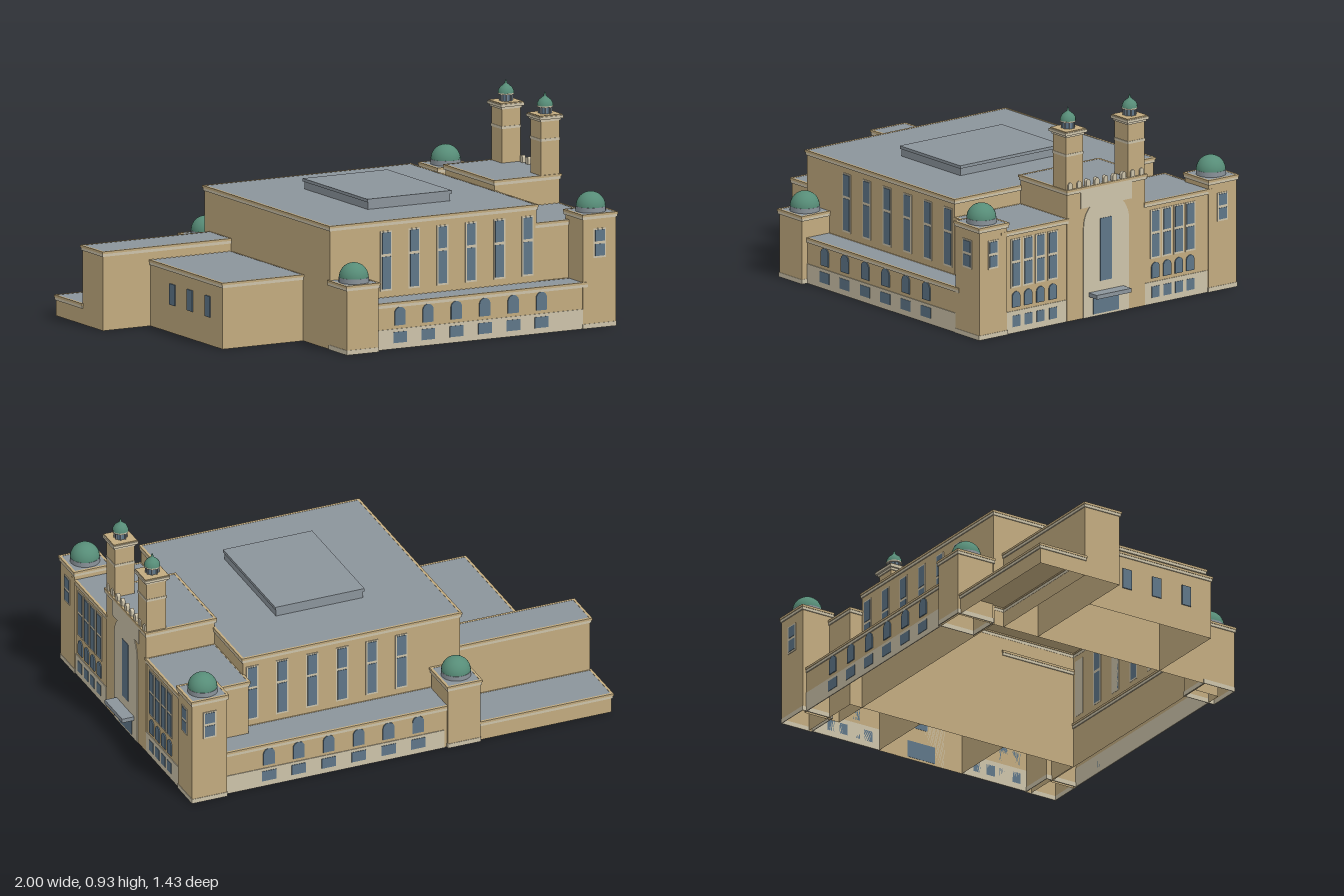
import * as THREE from 'three';

const mat = (name, color, side = THREE.FrontSide) => {
  const m = new THREE.MeshStandardMaterial({ color, side });
  m.name = name;
  return m;
};

export function createModel() {
  const brick = mat('tan brick', 0xc2ab7f, THREE.DoubleSide);
  const stone = mat('cream stone', 0xcdc3aa);
  const slate = mat('grey roof', 0x8b949b);
  const glass = mat('blue glass', 0x5f7688);
  const copper = mat('green copper', 0x578d78);
  const root = new THREE.Group();
  root.name = 'building';

  const add = (parent, name, geo, material, x = 0, y = 0, z = 0) => {
    const m = new THREE.Mesh(geo, material);
    m.name = name;
    m.position.set(x, y, z);
    parent.add(m);
    return m;
  };
  const box = (parent, name, material, x0, x1, y0, y1, z0, z1) =>
    add(parent, name, new THREE.BoxGeometry(x1 - x0, y1 - y0, z1 - z0), material,
      (x0 + x1) / 2, (y0 + y1) / 2, (z0 + z1) / 2);

  // Rectangular frame lying flat around a block, from y0 to y1
  const ring = (parent, name, material, [x0, x1, z0, z1], y0, y1, out, inset) => {
    const rect = (P, d) => {
      const p = new P();
      p.moveTo(x0 - d, -z1 - d); p.lineTo(x1 + d, -z1 - d);
      p.lineTo(x1 + d, -z0 + d); p.lineTo(x0 - d, -z0 + d); p.closePath();
      return p;
    };
    const s = rect(THREE.Shape, out);
    s.holes.push(rect(THREE.Path, -inset));
    const g = new THREE.ExtrudeGeometry(s, { depth: y1 - y0, bevelEnabled: false });
    g.rotateX(-Math.PI / 2);
    return add(parent, name, g, material, 0, y0, 0);
  };

  // Open-bottomed walls with stone cornice, brick coping and a flat roof
  const block = (name, x0, x1, z0, z1, h) => {
    const g = new THREE.Group();
    g.name = name;
    root.add(g);
    const walls = new THREE.BoxGeometry(x1 - x0, h - 0.004, z1 - z0);
    const idx = Array.from(walls.index.array);
    idx.splice(18, 6);
    walls.setIndex(idx);
    walls.clearGroups();
    add(g, 'walls', walls, brick, (x0 + x1) / 2, (h - 0.004) / 2, (z0 + z1) / 2);
    const r = [x0, x1, z0, z1];
    ring(g, 'cornice', stone, r, h - 0.022, h - 0.01, 0.005, 0.001);
    ring(g, 'coping', brick, r, h - 0.01, h, 0.007, 0.004);
    box(g, 'roof', slate, x0 + 0.004, x1 - 0.004, h - 0.003, h - 0.001, z0 + 0.004, z1 - 0.004);
    return g;
  };

  block('mainHall', -0.375, 0.625, -0.515, 0.555, 0.53);
  block('southAisle', -0.3, 0.8, 0.555, 0.672, 0.2);
  block('northAisle', -0.38, 0.8, -0.69, -0.515, 0.2);
  block('frontWingSouth', 0.625, 0.937, 0.2, 0.55, 0.45);
  block('frontWingNorth', 0.625, 0.937, -0.575, -0.22, 0.45);
  block('entranceBlock', 0.625, 0.94, -0.22, 0.2, 0.575);
  block('rearWingTall', -0.995, -0.375, -0.465, -0.29, 0.34);
  block('rearWingLow', -0.995, -0.375, -0.69, -0.465, 0.09);
  block('rearBox', -0.765, -0.375, -0.29, 0.325, 0.285);
  box(root, 'roofLantern', slate, -0.05, 0.35, 0.53, 0.562, -0.235, 0.305);
  box(root, 'roofLanternCap', slate, -0.055, 0.355, 0.562, 0.575, -0.24, 0.31);

  // Corner towers with domes
  const domeGeo = new THREE.SphereGeometry(0.063, 24, 10, 0, Math.PI * 2, 0, Math.PI / 2);
  const tower = (name, x0, x1, z0, z1, h) => {
    const g = block(name, x0, x1, z0, z1, h);
    const cx = (x0 + x1) / 2, cz = (z0 + z1) / 2;
    add(g, 'drum', new THREE.CylinderGeometry(0.064, 0.064, 0.022, 24), slate, cx, h + 0.009, cz);
    add(g, 'dome', domeGeo, copper, cx, h + 0.019, cz);
  };
  tower('towerSouthEast', 0.783, 0.943, 0.525, 0.675, 0.49);
  tower('towerNorthEast', 0.783, 0.943, -0.71, -0.56, 0.49);
  tower('towerSouthWest', -0.377, -0.224, 0.55, 0.702, 0.297);
  tower('towerNorthWest', -0.387, -0.238, -0.702, -0.525, 0.297);

  // Twin minarets
  const capProfile = [[0.034, 0], [0.033, 0.012], [0.025, 0.026], [0.011, 0.037],
    [0.005, 0.042], [0.005, 0.048], [0, 0.06]].map(p => new THREE.Vector2(...p));
  for (const z of [0.158, -0.174]) {
    const g = new THREE.Group();
    g.name = 'minaret';
    g.position.set(0.893, 0, z);
    root.add(g);
    const tier = (name, m, w, y0, y1) => box(g, name, m, -w, w, y0, y1, -w, w);
    tier('shaft', brick, 0.045, 0.56, 0.815);
    tier('band', stone, 0.047, 0.72, 0.731);
    tier('necking', stone, 0.05, 0.805, 0.815);
    tier('cap', stone, 0.058, 0.815, 0.827);
    tier('capTop', brick, 0.054, 0.827, 0.832);
    add(g, 'lantern', new THREE.CylinderGeometry(0.026, 0.026, 0.03, 8), glass, 0, 0.847, 0);
    for (let i = 0; i < 8; i++) {
      const a = (i + 0.5) * Math.PI / 4;
      add(g, 'lanternPost', new THREE.BoxGeometry(0.005, 0.03, 0.005), slate,
        0.027 * Math.cos(a), 0.847, 0.027 * Math.sin(a));
    }
    add(g, 'lanternRing', new THREE.CylinderGeometry(0.034, 0.034, 0.006, 12), stone, 0, 0.863, 0);
    add(g, 'lanternDome', new THREE.LatheGeometry(capProfile, 12), copper, 0, 0.845 + 0.02, 0);
  }

  // Wall frames: local x runs along the wall, local z points outward
  const face = (name, x, z, turn) => {
    const g = new THREE.Group();
    g.name = name;
    g.position.set(x, 0, z);
    g.rotation.y = turn;
    root.add(g);
    return g;
  };
  const plate = (g, name, m, u, w, y0, y1, t = 0.005) =>
    box(g, name, m, u - w / 2, u + w / 2, y0, y1, -0.001, t);
  const arch = (g, name, m, u, w, y0, y1, t = 0.005) => {
    const s = new THREE.Shape(), r = w / 2;
    s.moveTo(-r, y0); s.lineTo(r, y0); s.lineTo(r, y1 - r);
    s.absarc(0, y1 - r, r, 0, Math.PI, false);
    s.closePath();
    return add(g, name, new THREE.ExtrudeGeometry(s, { depth: t, bevelEnabled: false, curveSegments: 10 }), m, u, 0, 0);
  };
  // Two panes within a stone surround
  const tallWindow = (g, u, w, y0, y1, split) => {
    plate(g, 'windowSurround', stone, u, w + 0.014, y0 - 0.008, y1 + 0.006, 0.003);
    plate(g, 'lowerPane', glass, u, w, y0, split - 0.006);
    plate(g, 'upperPane', glass, u, w, split + 0.006, y1);
  };

  // Long sides
  const bays = [-0.104, 0.032, 0.169, 0.307, 0.445, 0.582];
  for (const [name, hallZ, aisleZ, dir] of [['south', 0.555, 0.672, 1], ['north', -0.515, -0.69, -1]]) {
    const turn = dir > 0 ? 0 : Math.PI;
    const hall = face(name + 'HallWindows', 0, hallZ, turn);
    const aisle = face(name + 'AisleWindows', 0, aisleZ, turn);
    plate(aisle, 'stoneBase', stone, dir * 0.28, 1.01, 0, 0.085, 0.003);
    for (const b of bays) {
      const u = b * dir;
      tallWindow(hall, u, 0.042, 0.235, 0.478, 0.38);
      arch(aisle, 'archedWindow', glass, u, 0.052, 0.1, 0.178);
      plate(aisle, 'basementWindow', glass, u, 0.066, 0.025, 0.072);
    }
    const t = face(name + 'TowerWindow', 0.863, dir > 0 ? 0.675 : -0.71, turn);
    tallWindow(t, 0, 0.046, 0.308, 0.42, 0.365);
  }

  // Entrance front
  const front = face('frontWindows', 0.937, 0, Math.PI / 2);
  for (const [zs, mid, w] of [[[0.474, 0.409, 0.343, 0.276], 0.365, 0.325],
    [[-0.276, -0.339, -0.402, -0.463], -0.388, 0.338]]) {
    plate(front, 'stoneBase', stone, -mid, w, 0, 0.096, 0.003);
    plate(front, 'upperBand', stone, -mid, w, 0.428, 0.436, 0.003);
    for (const z of zs) {
      tallWindow(front, -z, 0.04, 0.205, 0.405, 0.31);
      arch(front, 'archedWindow', glass, -z, 0.042, 0.112, 0.18);
      plate(front, 'basementWindow', glass, -z, 0.042, 0.027, 0.076);
    }
  }
  const towerFront = face('towerFrontWindows', 0.943, 0, Math.PI / 2);
  for (const z of [0.601, -0.633]) tallWindow(towerFront, -z, 0.042, 0.31, 0.42, 0.365);

  const portal = face('portal', 0.94, 0, Math.PI / 2);
  arch(portal, 'portalArch', stone, 0.009, 0.244, 0, 0.52, 0.003);
  plate(portal, 'portalHead', stone, 0.009, 0.274, 0.482, 0.556, 0.004);
  plate(portal, 'portalWindow', glass, 0.007, 0.062, 0.15, 0.423);
  plate(portal, 'door', glass, 0.007, 0.138, 0.01, 0.086);
  box(root, 'canopy', slate, 0.94, 0.998, 0.09, 0.108, -0.1, 0.085);
  for (let i = 0; i < 9; i++) {
    const m = arch(portal, 'merlon', stone, -0.184 + i * 0.048, 0.022, 0.57, 0.605, 0.016);
    m.position.z = -0.013;
  }

  // Stone plinth on tower feet
  for (const r of [[0.783, 0.943, 0.525, 0.675], [0.783, 0.943, -0.71, -0.56],
    [-0.377, -0.224, 0.55, 0.702], [-0.387, -0.238, -0.702, -0.525]])
    ring(root, 'towerPlinth', stone, r, 0, 0.02, 0.002, 0.001);

  // Rear box windows
  const rear = face('rearWindows', -0.765, 0, -Math.PI / 2);
  for (const z of [0.2, 0.05, -0.1]) plate(rear, 'rearWindow', glass, z, 0.045, 0.12, 0.21);

  return root;
}
